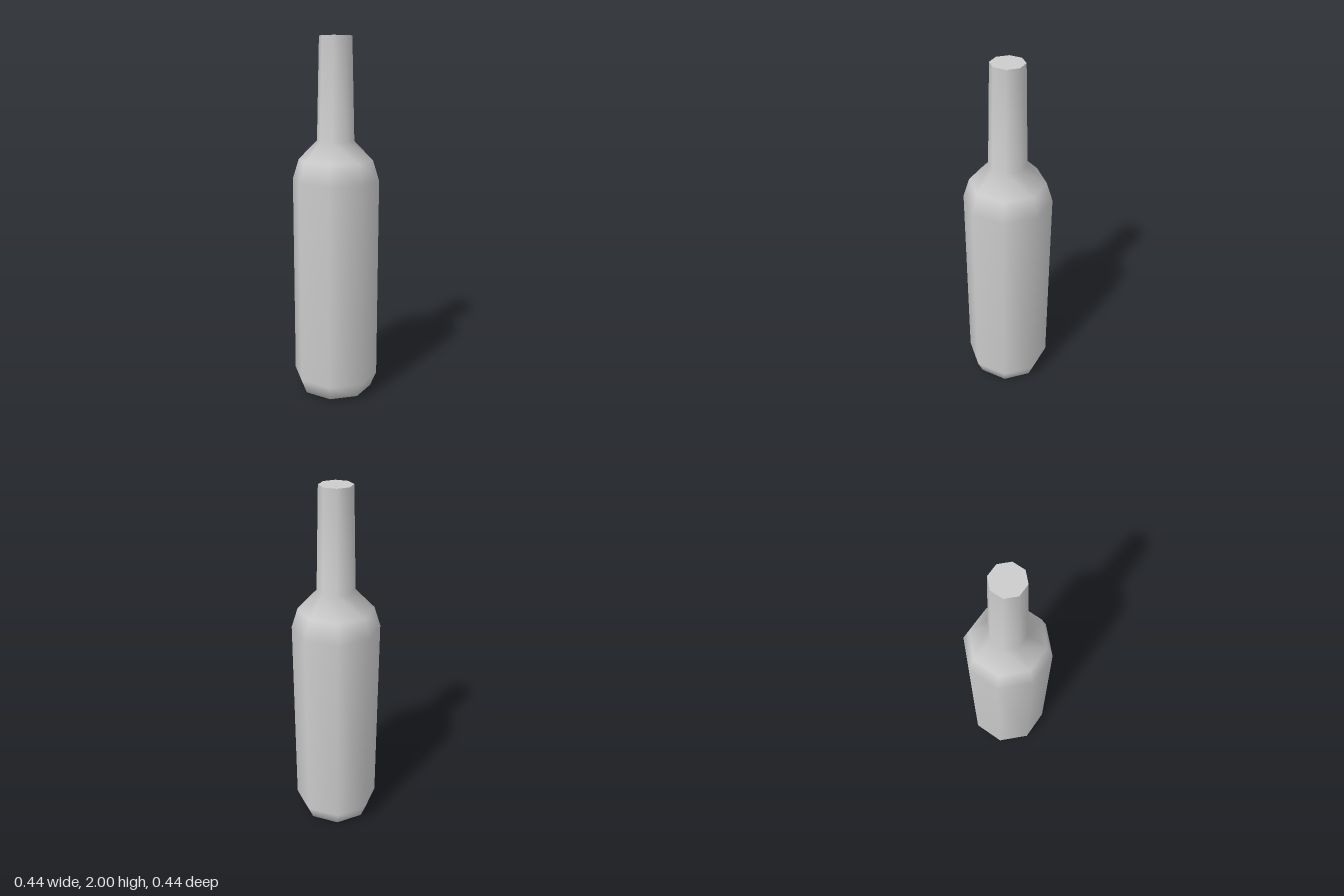
import * as THREE from 'three';

const SIDES = 8;
const TURN = Math.PI / SIDES; // puts flat sides on the axes
const toCorner = 1 / Math.cos(TURN); // flat-side distance to corner radius

export function createModel() {
  const bottle = new THREE.Group();
  bottle.name = 'bottle';
  const grey = new THREE.MeshStandardMaterial({ color: 0xcccccc });
  grey.name = 'bottle grey';

  // Smooth eight-sided wall: [flat-side distance, height] from base to lip
  const profile = [
    [0.135, 0], [0.19, 0.015], [0.222, 0.1], [0.222, 1.235],
    [0.19, 1.345], [0.095, 1.45], [0.082, 2],
  ].map(([r, y]) => new THREE.Vector2(r * toCorner, y));
  const wall = new THREE.Mesh(new THREE.LatheGeometry(profile, SIDES, TURN), grey);
  wall.name = 'bottleWall';
  bottle.add(wall);

  // Flat end faces with hard edges
  const addCap = (name, point, tilt) => {
    const geometry = new THREE.CircleGeometry(point.x, SIDES, TURN);
    geometry.rotateX(tilt);
    const cap = new THREE.Mesh(geometry, grey);
    cap.name = name;
    cap.position.y = point.y;
    bottle.add(cap);
  };
  addCap('base', profile[0], Math.PI / 2);
  addCap('neckTop', profile[profile.length - 1], -Math.PI / 2);

  return bottle;
}
